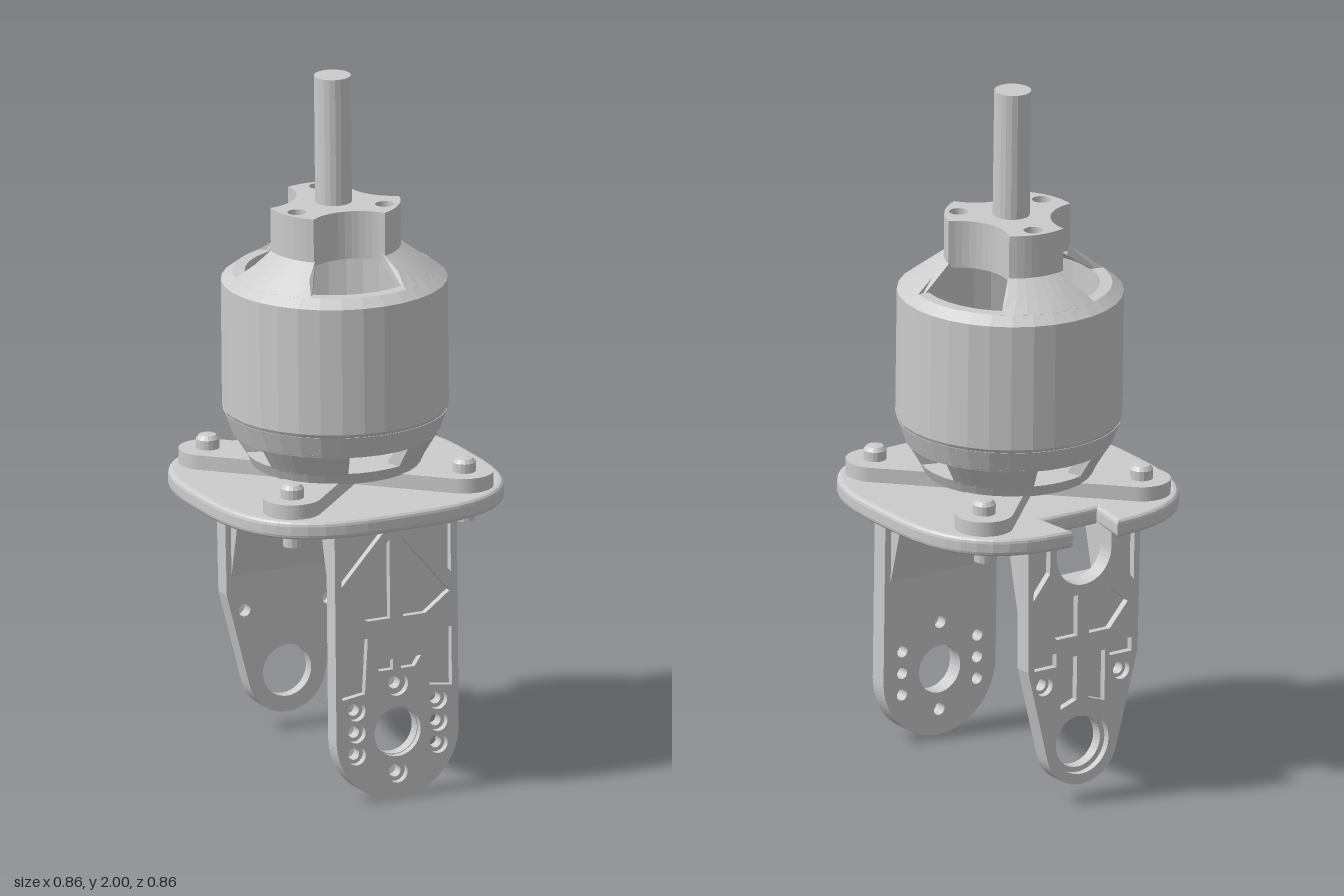
import * as THREE from 'three';

const flat = new THREE.MeshStandardMaterial({ color: 0xcccccc, flatShading: true, side: THREE.DoubleSide });
const V = (p) => p.map(([x, y]) => new THREE.Vector2(x, y));

function add(parent, name, geo, x = 0, y = 0, z = 0) {
  const m = new THREE.Mesh(geo, flat);
  m.name = name;
  m.position.set(x, y, z);
  parent.add(m);
  return m;
}

const circle = (x, y, r) => new THREE.Path().absarc(x, y, r, 0, Math.PI * 2, false);

// Extrude a shape along +z from z0 to z1
function slab(shape, z0, z1) {
  return new THREE.ExtrudeGeometry(shape, { depth: z1 - z0, bevelEnabled: false, curveSegments: 18 }).translate(0, 0, z0);
}

// Extrude a plan shape (x, -z) upward from y0 to y1
function raise(shape, y0, y1) {
  return slab(shape, y0, y1).rotateX(-Math.PI / 2);
}

// Full ring from a closed (radius, height) profile
function ring(profile, sides = 32) {
  return new THREE.LatheGeometry(V([...profile, profile[0]]), sides);
}

// Ring sector whose half angle may depend on radius; angle measured from +x toward +z
function sector(profile, centre, half, steps = 8) {
  const pos = [], idx = [], n = profile.length;
  for (let s = 0; s <= steps; s++) {
    for (const [r, y] of profile) {
      const a = centre + (2 * s / steps - 1) * half(r);
      pos.push(r * Math.cos(a), y, r * Math.sin(a));
    }
  }
  for (let s = 0; s < steps; s++) {
    for (let i = 0; i < n; i++) {
      const a = s * n + i, b = s * n + (i + 1) % n;
      idx.push(a, b, a + n, b, b + n, a + n);
    }
  }
  for (let i = 1; i < n - 1; i++) {
    const e = steps * n;
    idx.push(0, i + 1, i, e, e + i, e + i + 1);
  }
  const g = new THREE.BufferGeometry();
  g.setAttribute('position', new THREE.Float32BufferAttribute(pos, 3));
  g.setIndex(idx);
  g.computeVertexNormals();
  return g;
}

// Rounded square plate with a slot at the back and a hole in the middle
function plateGeometry() {
  const pts = [], R = 0.416, N = 44, t0 = Math.PI / 2 - 0.1, t1 = -Math.PI * 1.5 + 0.1;
  const pw = (v) => Math.sign(v) * Math.abs(v) ** (2 / 3);
  for (let i = 0; i <= N; i++) {
    const t = t0 + (t1 - t0) * i / N;
    pts.push([R * pw(Math.cos(t)), R * pw(Math.sin(t))]);
  }
  pts.push([-0.106, 0.29], [0.106, 0.29]);
  const shape = new THREE.Shape(V(pts));
  shape.holes.push(circle(0, 0, 0.084));
  return new THREE.ExtrudeGeometry(shape, {
    depth: 0.025, bevelThickness: 0.014, bevelSize: 0.014, bevelSegments: 3, curveSegments: 18,
  }).rotateX(-Math.PI / 2).translate(0, 0.799, 0);
}

// Leg made of a backing layer and a front layer with pockets
function leg(name, outline, holes, pockets) {
  const g = new THREE.Group();
  g.name = name;
  const back = outline(), front = outline();
  for (const [x, y, r, outer] of holes) {
    back.holes.push(circle(x, y, r));
    front.holes.push(circle(x, y, outer));
  }
  for (const p of pockets) {
    front.holes.push(new THREE.Path(V(p)));
    front.holes.push(new THREE.Path(V(p.map(([x, y]) => [-x, y]))));
  }
  add(g, name + 'Back', slab(back, 0.322, 0.355));
  add(g, name + 'Ribs', slab(front, 0.355, 0.375));
  return g;
}

// Sloped brace between leg and plate, side profile given as (z, y)
function brace(parent, profile, x0, x1) {
  const s = new THREE.Shape(V(profile.map(([z, y]) => [-z, y])));
  add(parent, 'brace', slab(s, x0, x1).rotateY(Math.PI / 2));
}

export function createModel() {
  const root = new THREE.Group();
  root.name = 'motorMount';
  const body = new THREE.Group();
  body.name = 'tiltedAssembly';
  body.rotation.x = -0.02;
  body.position.z = 0.015;
  root.add(body);

  // Mounting plate
  add(body, 'plate', plateGeometry());

  // Cross-shaped motor foot with screws at its four tips
  const d = 0.267, L = d * Math.SQRT2;
  for (const a of [1, -1]) {
    const s = new THREE.Shape();
    s.absarc(L, 0, 0.082, -Math.PI / 2, Math.PI / 2, false);
    s.absarc(-L, 0, 0.082, Math.PI / 2, Math.PI * 1.5, false);
    add(body, 'crossFoot', raise(s, 0.837, 0.88)).rotation.y = a * Math.PI / 4;
    for (const b of [1, -1]) {
      const head = [[0, 0.87], [0.033, 0.87], [0.033, 0.907], [0.024, 0.918], [0, 0.921]];
      add(body, 'screwHead', new THREE.LatheGeometry(V(head), 16), a * d, 0, b * d);
      add(body, 'screwEnd', new THREE.CylinderGeometry(0.027, 0.027, 0.06, 12), a * d, 0.768, b * d);
    }
  }

  // Motor base: floor, four spokes leaving windows, upper ring
  const motor = new THREE.Group();
  motor.name = 'motor';
  body.add(motor);
  add(motor, 'baseFloor', new THREE.CylinderGeometry(0.252, 0.236, 0.034, 32), 0, 0.895, 0);
  for (let i = 0; i < 4; i++) {
    const spoke = [[0.2, 0.905], [0.248, 0.905], [0.292, 0.977], [0.25, 0.977]];
    add(motor, 'baseSpoke', sector(spoke, Math.PI * (0.25 + i / 2), () => 0.465));
  }
  add(motor, 'baseRing', ring([[0.24, 0.97], [0.29, 0.97], [0.314, 1.035], [0.24, 1.035]]));
  add(motor, 'innerFloor', new THREE.CylinderGeometry(0.26, 0.26, 0.035, 32), 0, 1.02, 0);

  // Rotor shell with a sloped shoulder and flat window ledge
  add(motor, 'rotorShell', ring([[0.25, 1.03], [0.309, 1.03], [0.317, 1.045], [0.317, 1.41], [0.285, 1.434], [0.25, 1.434]]));

  // Cap spokes between three round windows
  const W = 0.25, A = 0.14, first = THREE.MathUtils.degToRad(100);
  const bite = (r) => Math.acos((r * r + W * W - A * A) / (2 * r * W));
  const cap = [[0.286, 1.41], [0.286, 1.433], [0.235, 1.472], [0.18, 1.513], [0.18, 1.48], [0.235, 1.44]];
  for (let i = 0; i < 3; i++) {
    add(motor, 'capSpoke', sector(cap, first + Math.PI / 3 + i * Math.PI * 2 / 3, (r) => Math.PI / 3 - bite(r)));
  }

  // Hub with three concave bites and three screw holes
  const R = 0.187, pts = [], phi = bite(R);
  const hub = new THREE.Shape();
  for (let i = 0; i < 3; i++) {
    const c = first + i * Math.PI * 2 / 3;
    const inner = Math.asin(R * Math.sin(phi) / A);
    for (let k = 0; k <= 12; k++) {
      const t = c + Math.PI + inner * (1 - k / 6);
      pts.push([W * Math.cos(c) + A * Math.cos(t), W * Math.sin(c) + A * Math.sin(t)]);
    }
    const span = Math.PI * 2 / 3 - 2 * phi;
    for (let k = 1; k < 8; k++) {
      const t = c + phi + span * k / 8;
      pts.push([R * Math.cos(t), R * Math.sin(t)]);
    }
    const h = c + Math.PI / 3;
    hub.holes.push(circle(0.147 * Math.cos(h), -0.147 * Math.sin(h), 0.027));
  }
  hub.setFromPoints(V(pts.map(([x, z]) => [x, -z])));
  add(motor, 'hub', raise(hub, 1.495, 1.633));
  add(motor, 'shaft', new THREE.CylinderGeometry(0.052, 0.052, 0.5, 20), 0, 1.75, 0);

  // Front leg: straight with a round end
  const frontOutline = () => {
    const s = new THREE.Shape();
    s.moveTo(0.19, 0.8);
    s.lineTo(-0.19, 0.8);
    s.absarc(0, 0.183, 0.19, Math.PI, Math.PI * 2, false);
    return s;
  };
  const holes = [[0, 0.187, 0.07, 0.072], [0, 0.325, 0.018, 0.034], [0, 0.068, 0.018, 0.03]];
  for (const s of [1, -1]) for (const y of [0.262, 0.198, 0.134]) holes.push([s * 0.127, y, 0.017, 0.028]);
  const truss = [
    [[-0.17, 0.77], [-0.04, 0.77], [-0.17, 0.63]],
    [[-0.02, 0.75], [-0.02, 0.52], [-0.09, 0.52], [-0.165, 0.575]],
  ];
  const front = leg('frontLeg', frontOutline, holes, [
    ...truss,
    [[-0.17, 0.47], [-0.09, 0.47], [-0.1, 0.31], [-0.17, 0.3]],
    [[-0.075, 0.4], [-0.012, 0.4], [-0.012, 0.37], [-0.055, 0.37]],
  ]);
  brace(front, [[0.323, 0.47], [0.323, 0.795], [0.24, 0.795]], -0.17, 0.17);
  body.add(front);

  // Back leg: tapered, with a round notch under the plate slot
  const backOutline = () => {
    const s = new THREE.Shape();
    s.moveTo(0.19, 0.8);
    s.lineTo(0.092, 0.8);
    s.absarc(0, 0.74, 0.092, 0, Math.PI, true);
    s.lineTo(-0.092, 0.8);
    s.lineTo(-0.19, 0.8);
    s.lineTo(-0.185, 0.42);
    s.absarc(0, 0.177, 0.12, Math.PI * 1.08, Math.PI * 1.92, false);
    s.lineTo(0.185, 0.42);
    return s;
  };
  // The notch arc must run below its centre
  const notched = () => {
    const s = new THREE.Shape();
    s.moveTo(0.19, 0.8);
    s.lineTo(0.092, 0.8);
    s.absarc(0, 0.74, 0.092, 0, -Math.PI, true);
    s.lineTo(-0.092, 0.8);
    backOutline().getPoints(18).filter((p) => p.x < -0.1 || p.y < 0.5).forEach((p) => s.lineTo(p.x, p.y));
    return s;
  };
  const back = leg('backLeg', notched, [[0, 0.177, 0.075, 0.09], [0.13, 0.37, 0.018, 0.028], [-0.13, 0.37, 0.018, 0.028]], [
    [[-0.17, 0.77], [-0.115, 0.77], [-0.115, 0.7], [-0.17, 0.63]],
    [[-0.02, 0.62], [-0.02, 0.5], [-0.09, 0.5], [-0.15, 0.57], [-0.09, 0.62]],
    [[-0.165, 0.46], [-0.09, 0.46], [-0.09, 0.42], [-0.165, 0.42]],
    [[-0.075, 0.44], [-0.02, 0.44], [-0.02, 0.31], [-0.075, 0.29]],
  ]);
  for (const s of [-0.17, 0.092]) brace(back, [[0.323, 0.47], [0.323, 0.795], [0.24, 0.795]], s, s + 0.078);
  brace(back, [[0.323, 0.47], [0.323, 0.648], [0.278, 0.648]], -0.092, 0.092);
  back.rotation.y = Math.PI;
  body.add(back);

  return root;
}
